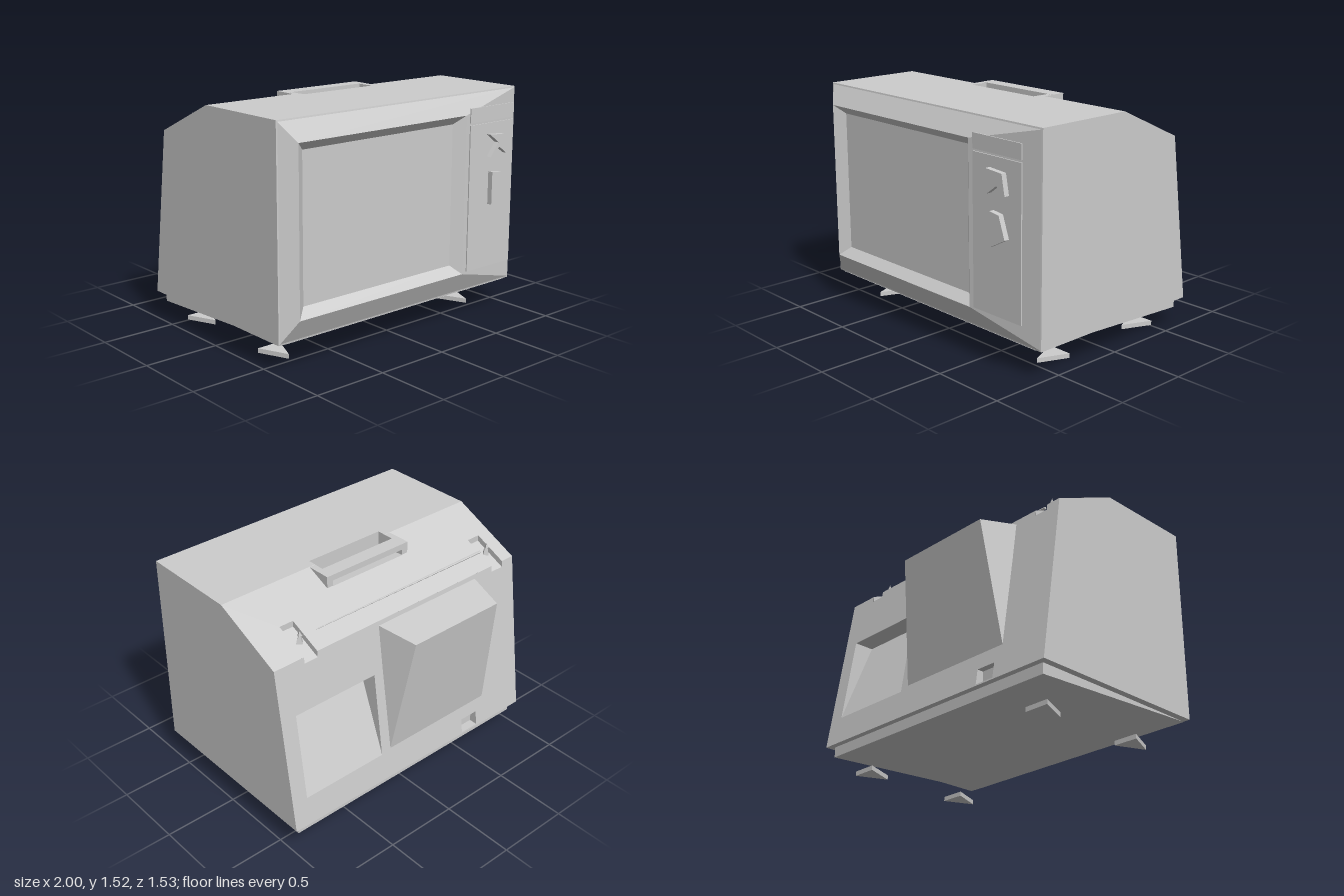
import * as THREE from 'three';

const shell = new THREE.MeshStandardMaterial({ color: 0xcccccc, side: THREE.DoubleSide, flatShading: true });
shell.name = 'grey plastic';

// Heights and depths of the sloping roof and rear planes
const TOP = 1.52, RIDGE = -0.03;
const slopeY = (z) => TOP - (RIDGE - z) * 0.458;
const backZ = (y) => -0.51 - (1.3 - y) * 0.144;

export function createModel() {
  const root = new THREE.Group();
  root.name = 'portableTelevision';

  const add = (name, geo, x = 0, y = 0, z = 0) => {
    const m = new THREE.Mesh(geo, shell);
    m.name = name;
    m.position.set(x, y, z);
    root.add(m);
    return m;
  };
  const box = (name, x0, x1, y0, y1, z0, z1) =>
    add(name, new THREE.BoxGeometry(x1 - x0, y1 - y0, z1 - z0), (x0 + x1) / 2, (y0 + y1) / 2, (z0 + z1) / 2);
  const toShape = (pts) => new THREE.Shape(pts.map(([u, v]) => new THREE.Vector2(u, v)));

  // Flat panel with holes, placed in space by a rule
  const panel = (name, pts, holes, map) => {
    const s = toShape(pts);
    s.holes = holes.map(toShape);
    const geo = new THREE.ShapeGeometry(s);
    const p = geo.attributes.position;
    for (let i = 0; i < p.count; i++) p.setXYZ(i, ...map(p.getX(i), p.getY(i)));
    geo.computeVertexNormals();
    return add(name, geo);
  };
  // Mesh from three- or four-cornered faces
  const faces = (name, list) => {
    const out = [];
    for (const f of list)
      for (let i = 1; i < f.length - 1; i++) out.push(...f[0], ...f[i], ...f[i + 1]);
    const geo = new THREE.BufferGeometry();
    geo.setAttribute('position', new THREE.Float32BufferAttribute(out, 3));
    geo.computeVertexNormals();
    return add(name, geo);
  };

  // Cabinet sides and floor
  const side = [[0.65, 0.19], [0.65, TOP], [RIDGE, TOP], [-0.51, 1.3], [-0.67, 0.19]];
  for (const s of [-1, 1])
    panel(s > 0 ? 'leftSide' : 'rightSide', side.map(([z, y]) => [-s * z, y]), [], (u, y) => [s, y, -s * u]);
  panel('cabinetFloor', [[-1, -0.67], [1, -0.67], [1, 0.65], [-1, 0.65]], [], (x, z) => [x, 0.19, z]);

  // Roof with the hand pocket cut through its rear edge (v = -z)
  panel('roof', [[-1, -0.65], [1, -0.65], [1, 0.03], [0.29, 0.03], [0.29, -0.025],
    [-0.29, -0.025], [-0.29, 0.03], [-1, 0.03]], [], (x, v) => [x, TOP, -v]);

  // Rear slope with aerial slots open at the back
  const slots = [[-0.9, -0.8], [0.68, 0.78]], drop = 0.04;
  const slopeOutline = [[-1, 0.03], [-0.29, 0.03], [-0.29, 0.2], [0.29, 0.2], [0.29, 0.03], [1, 0.03], [1, 0.51]];
  const backTop = [];
  for (const [a, b] of [...slots].reverse()) {
    slopeOutline.push([b, 0.51], [b, 0.29], [a, 0.29], [a, 0.51]);
    backTop.push([-b, 1.3], [-b, 1.3 - drop], [-a, 1.3 - drop], [-a, 1.3]);
  }
  slopeOutline.push([-1, 0.51]);
  panel('rearSlope', slopeOutline, [], (x, v) => [x, slopeY(-v), -v]);
  for (const [a, b] of slots) {
    const p = (x, z, d) => [x, slopeY(z) - d, z];
    faces('aerialSlot', [
      [p(a, -0.29, drop), p(b, -0.29, drop), p(b, -0.515, drop), p(a, -0.515, drop)],
      [p(a, -0.29, 0), p(b, -0.29, 0), p(b, -0.29, drop), p(a, -0.29, drop)],
      [p(a, -0.51, 0), p(a, -0.29, 0), p(a, -0.29, drop), p(a, -0.51, drop)],
      [p(b, -0.29, 0), p(b, -0.51, 0), p(b, -0.51, drop), p(b, -0.29, drop)],
    ]);
  }

  // Rear panel with connector recess and cable socket (u = -x)
  const recesses = [
    ['connectorRecess', 0.27, 0.89, 0.38, 0.96, backZ(0.38), -0.42],
    ['cableSocket', -0.59, -0.45, 0.2, 0.3, -0.61, -0.61],
  ];
  panel('rearPanel', [[-1, 0.19], [1, 0.19], [1, 1.3], ...[...backTop].reverse(), [-1, 1.3]],
    recesses.map(([, a, b, y0, y1]) => [[-b, y0], [-a, y0], [-a, y1], [-b, y1]]),
    (u, y) => [-u, y, backZ(y)]);
  for (const [name, a, b, y0, y1, z0, z1] of recesses) {
    const o = (x, y) => [x, y, backZ(y)];
    const n = (x, y) => [x, y, y === y0 ? z0 : z1];
    const list = [
      [n(b, y0), n(a, y0), n(a, y1), n(b, y1)],
      [o(b, y1), n(b, y1), n(a, y1), o(a, y1)],
      [o(b, y0), n(b, y0), n(b, y1), o(b, y1)],
      [o(a, y1), n(a, y1), n(a, y0), o(a, y0)],
    ];
    if (z0 > backZ(y0) + 0.01) list.push([o(a, y0), n(a, y0), n(b, y0), o(b, y0)]);
    faces(name, list);
  }

  // Tube housing: wedge hump on the back
  const A = [-0.64, 1.27, -0.512], B = [0.2, 1.27, -0.512], C = [-0.58, 1.225, -0.768],
    D = [0.13, 1.225, -0.768], E = [-0.65, 0.4, -0.645], F = [0.2, 0.4, -0.645];
  faces('tubeHousing', [[A, B, D, C], [F, E, C, D], [F, D, B], [E, A, C]]);

  // Front bezel sloping out to the screen frame, then in to the screen
  const loop = (x0, x1, y0, y1, z) => [[x0, y0, z], [x1, y0, z], [x1, y1, z], [x0, y1, z]];
  const ring = (a, b) => [0, 1, 2, 3].map((i) => [a[i], a[(i + 1) % 4], b[(i + 1) % 4], b[i]]);
  const rim = loop(-1, 1, 0.19, TOP, 0.65);
  const lip = loop(-0.99, 0.99, 0.2, 1.51, 0.652);
  const frame = loop(-0.9, 0.46, 0.34, 1.39, 0.725);
  const glass = loop(-0.83, 0.395, 0.4, 1.335, 0.67);
  faces('frontBezel', [...ring(rim, lip), ...ring(lip, frame)]);
  faces('screenFrame', ring(frame, glass));
  faces('screen', [glass]);

  // Control panel plates and angular knobs
  box('controlPanel', 0.5, 0.91, 0.35, 1.32, 0.72, 0.728);
  box('namePlate', 0.5, 0.91, 1.335, 1.43, 0.72, 0.728);
  const knob = (name, pts) =>
    add(name, new THREE.ExtrudeGeometry(toShape(pts), { depth: 0.035, bevelEnabled: false }), 0, 0, 0.728);
  knob('channelKnob', [[0.65, 1.25], [0.73, 1.19], [0.66, 1.1], [0.74, 1.16], [0.81, 1.11], [0.785, 1.24]]);
  knob('volumeKnob', [[0.68, 0.78], [0.81, 0.85], [0.76, 0.99], [0.68, 1.0]]);

  // Carrying handle bridging the pocket behind the roof edge
  box('handleBar', -0.335, 0.335, 1.48, TOP, -0.197, -0.1);
  for (const s of [-1, 1]) box('handleLeg', s * 0.3125 - 0.0225, s * 0.3125 + 0.0225, 1.4, 1.519, -0.197, 0.025);
  const low = 1.42, end = slopeY(-0.2);
  faces('handlePocket', [
    [[-0.29, low, 0.025], [0.29, low, 0.025], [0.29, end, -0.2], [-0.29, end, -0.2]],
    [[0.29, low, 0.025], [-0.29, low, 0.025], [-0.29, TOP, 0.025], [0.29, TOP, 0.025]],
  ]);

  // Folded aerial and its pivots
  const rod = add('aerialRod', new THREE.CylinderGeometry(0.009, 0.003, 1.39, 6), -0.095, 1.368, -0.41);
  rod.rotation.z = Math.PI / 2;
  for (const x of [-0.85, 0.73]) {
    add('aerialPivot', new THREE.CylinderGeometry(0.012, 0.026, 0.05, 4), x, 1.355, -0.41);
    add('aerialPivotTip', new THREE.ConeGeometry(0.018, 0.035, 3), x, 1.392, -0.41);
  }

  // Sloping base under the cabinet
  const base = new THREE.ExtrudeGeometry(toShape([[-0.65, 0.188], [0.63, 0.12], [0.63, 0.192]]),
    { depth: 1.91, bevelEnabled: false });
  base.rotateY(Math.PI / 2);
  add('base', base, -0.955, 0, 0);

  // Three-sided feet
  for (const x of [-0.785, 0.785])
    for (const z of [0.37, -0.41]) {
      const geo = new THREE.CylinderGeometry(0.098, 0.098, 0.03, 3);
      geo.scale(1, 1, 1.36);
      add('foot', geo, x, 0.015, z - 0.033);
    }

  return root;
}
